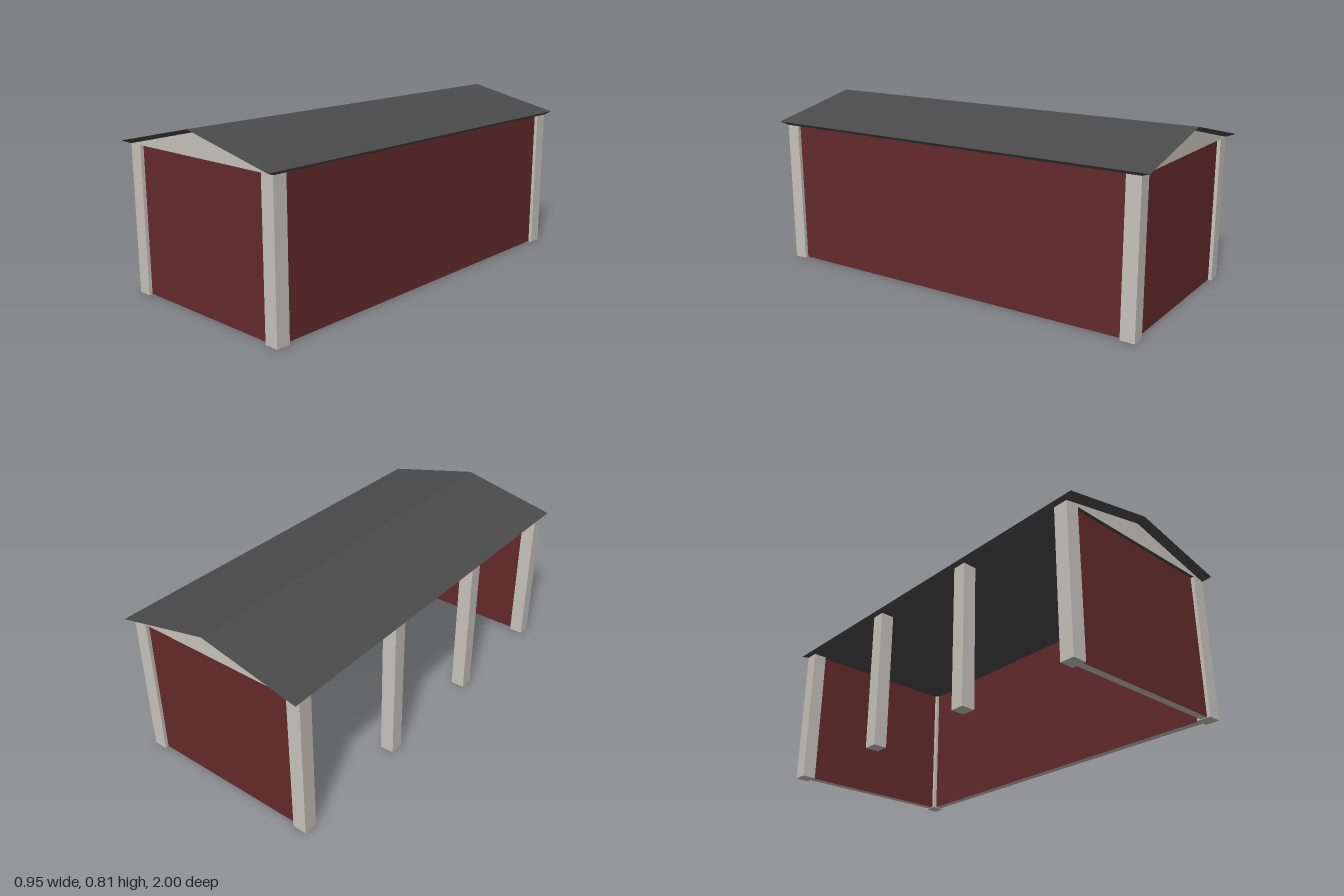
import * as THREE from 'three';

const mat = (color) => new THREE.MeshStandardMaterial({ color, flatShading: true });

const HX = 0.46, HZ = 0.96;          // half size of the frame
const POST = 0.067, WALL = 0.034;    // post side, wall thickness
const EAVE = 0.69, PEAK = 0.795;     // underside of the roof
const OX = 0.477, OZ = 1;            // half size of the roof's outer edge
const OEAVE = 0.705, OPEAK = 0.811;

// Flat-faced geometry from polygons given counter-clockwise
function polygons(list) {
  const pos = [];
  for (const p of list)
    for (let i = 1; i < p.length - 1; i++) pos.push(...p[0], ...p[i], ...p[i + 1]);
  const g = new THREE.BufferGeometry();
  g.setAttribute('position', new THREE.Float32BufferAttribute(pos, 3));
  g.computeVertexNormals();
  return g;
}

export function createModel() {
  const model = new THREE.Group();
  model.name = 'shed';
  const cream = mat(0xc8c3bc), red = mat(0x642a2c), dark = mat(0x4a4a4a);

  const add = (name, geometry, material, x = 0, y = 0, z = 0) => {
    const mesh = new THREE.Mesh(geometry, material);
    mesh.name = name;
    mesh.position.set(x, y, z);
    model.add(mesh);
  };

  // Posts: four along the open side, two at the corners of the closed side
  const px = HX - POST / 2, pz = HZ - POST / 2;
  const postGeo = new THREE.BoxGeometry(POST, EAVE, POST);
  for (let i = 0; i < 4; i++) add('openSidePost', postGeo, cream, -px, EAVE / 2, -pz + (i * 2 * pz) / 3);
  for (const s of [-1, 1]) add('cornerPost', postGeo, cream, px, EAVE / 2, s * pz);

  // Walls set between the posts: red faces, cream edges
  const base = 0.003, wallH = EAVE - base, wallY = base + wallH / 2;
  const endGeo = new THREE.BoxGeometry(2 * (HX - POST), wallH, WALL);
  const endMats = [cream, cream, cream, cream, red, red];
  add('frontWall', endGeo, endMats, 0, wallY, pz);
  add('backWall', endGeo, endMats, 0, wallY, -pz);
  add('sideWall', new THREE.BoxGeometry(WALL, wallH, 2 * (HZ - POST)),
    [red, red, cream, cream, cream, cream], px, wallY, 0);

  // Roof: solid gable with bevelled overhang; each half is the other turned around y
  const roof = [[[-HX, EAVE, -HZ], [HX, EAVE, -HZ], [HX, EAVE, HZ], [-HX, EAVE, HZ]]];
  const gables = [];
  for (const k of [1, -1]) {
    const inner = (x, y, z = HZ) => [k * x, y, k * z];
    const outer = (x, y, z = OZ) => [k * x, y, k * z];
    const ridge = outer(0, OPEAK), peak = inner(0, PEAK);
    roof.push(
      // slope
      [outer(OX, OEAVE), outer(OX, OEAVE, -OZ), outer(0, OPEAK, -OZ), ridge],
      // eave bevel
      [inner(HX, EAVE), inner(HX, EAVE, -HZ), outer(OX, OEAVE, -OZ), outer(OX, OEAVE)],
      // gable bevels
      [outer(-OX, OEAVE), inner(-HX, EAVE), peak, ridge],
      [ridge, peak, inner(HX, EAVE), outer(OX, OEAVE)],
    );
    gables.push([inner(-HX, EAVE), inner(HX, EAVE), peak]);
  }
  add('roof', polygons(roof), dark);
  add('gables', polygons(gables), cream);

  return model;
}
